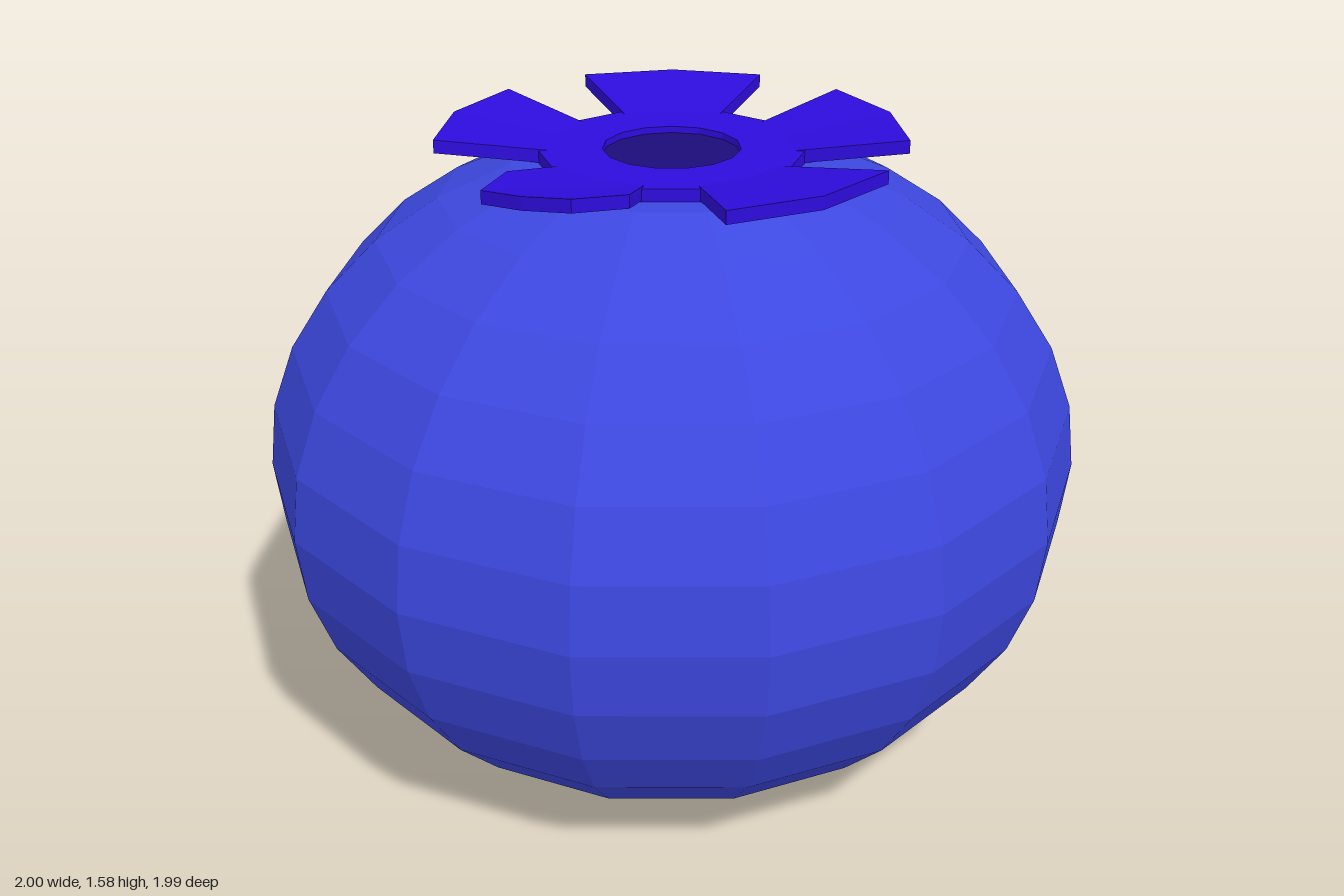
import * as THREE from 'three';

const SIDES = 15;
const DEG = Math.PI / 180;

const paint = (color) => new THREE.MeshStandardMaterial({ color, flatShading: true });

// Faceted solid of revolution with a corner pointing to -z
function turned(name, points, material) {
  const profile = points.map(([r, y]) => new THREE.Vector2(r, y));
  const mesh = new THREE.Mesh(new THREE.LatheGeometry(profile, SIDES, Math.PI), material);
  mesh.name = name;
  return mesh;
}

// Crown lobe: a box bent around the axis. Each row is [radius, start, end] in
// degrees from -z towards +x; tilt raises the starting edge of the tip.
function lobe(rows, tilt, material) {
  const geometry = new THREE.BoxGeometry(1, 0.032, 1, 2, 1, 2);
  const p = geometry.attributes.position;
  for (let i = 0; i < p.count; i++) {
    const [r, start, end] = rows[Math.round((0.5 - p.getZ(i)) * 2)];
    const u = p.getX(i) + 0.5;
    const a = THREE.MathUtils.lerp(start, end, u) * DEG;
    const out = (r - 0.29) / 0.27;
    const y = 1.51 + p.getY(i) + out * (0.034 + tilt * (0.5 - u));
    p.setXYZ(i, r * Math.sin(a), y, -r * Math.cos(a));
  }
  geometry.computeVertexNormals();
  const mesh = new THREE.Mesh(geometry, material);
  mesh.name = 'crownLobe';
  return mesh;
}

export function createModel() {
  const model = new THREE.Group();
  model.name = 'berry';
  const skin = paint(0x3d48e0);
  const purple = paint(0x2e0cdc);
  const dark = paint(0x1b0c78);

  // Squashed round body, flattened at both ends, with a small pit underneath
  const profile = [[0, 0.06], [0.14, 0.06], [0.16, 0.004], [0.385, 0]];
  for (let k = 3; k <= 14; k++) {
    const t = (k * Math.PI) / 16;
    profile.push([1.0055 * Math.sin(t), 0.735 - 0.823 * Math.cos(t)]);
  }
  profile.push([0, 1.495]);
  model.add(turned('body', profile, skin));

  // Stem scar inside the bottom pit
  model.add(turned('stemScar', [[0, 0.05], [0.08, 0.048], [0.15, 0.03]], purple));

  // Crown: flat ring around a dark centre
  const crown = new THREE.Group();
  crown.name = 'crown';
  crown.add(turned('crownRing',
    [[0.165, 1.494], [0.315, 1.494], [0.315, 1.526], [0.165, 1.526], [0.165, 1.494]], purple));
  crown.add(turned('crownCentre', [[0.166, 1.51], [0, 1.51]], dark));

  // Five lobes, the front one narrowed at its tip and tilted
  for (let i = 0; i < 5; i++) {
    const a = i * 72;
    const front = i === 2;
    const rows = front
      ? [[0.29, 144, 192], [0.43, 144, 192], [0.56, 154, 180]]
      : [[0.29, a, a + 48], [0.43, a, a + 48], [0.56, a, a + 48]];
    crown.add(lobe(rows, front ? 0.03 : 0, purple));
  }
  model.add(crown);

  // Odd number of sides: shift so the front and back extents match
  model.children.forEach((part) => { part.position.z = 0.011; });
  return model;
}
